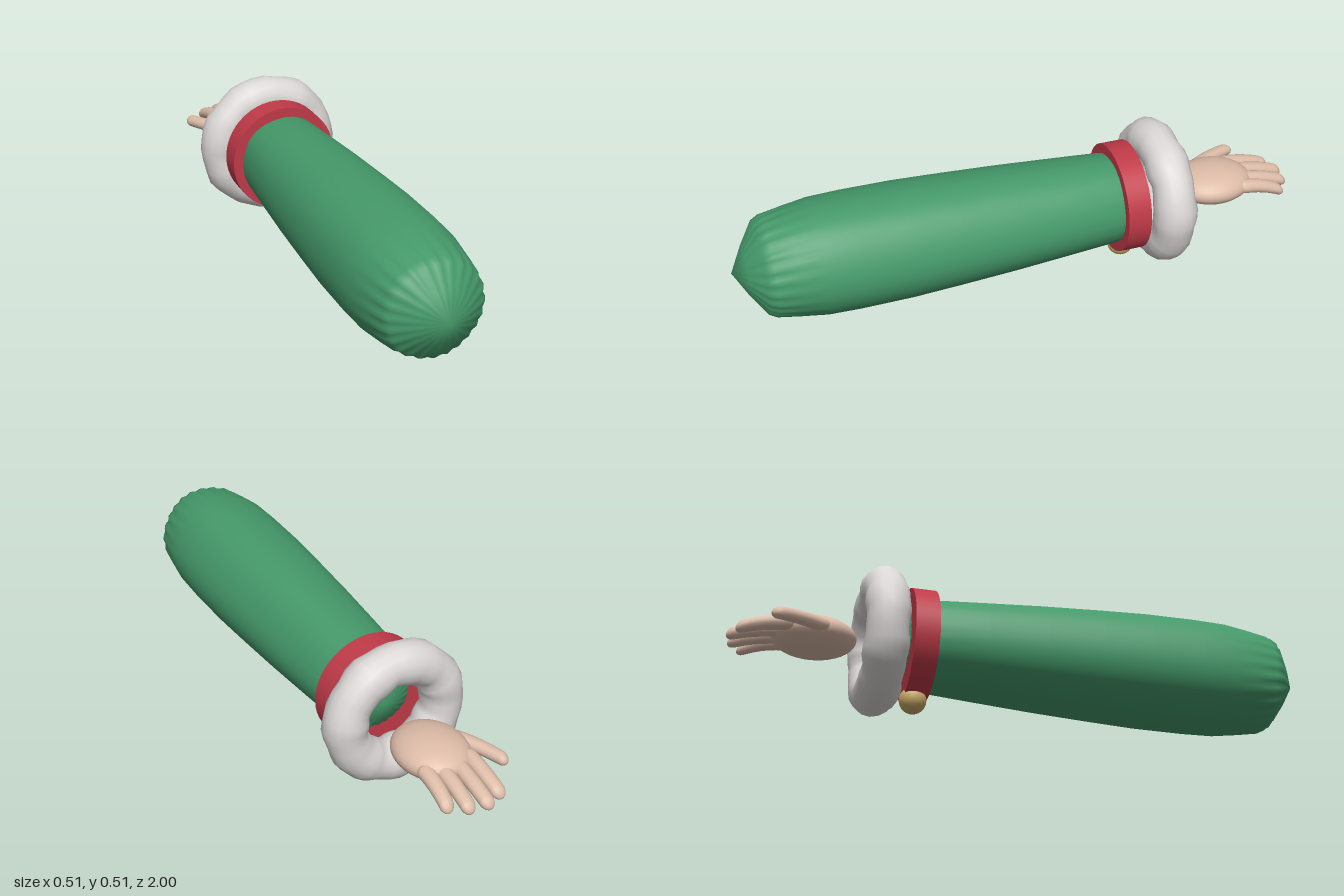
import * as THREE from 'three';
import { mergeVertices } from 'three/addons/utils/BufferGeometryUtils.js';

const AXIS_Y = 0.257;
const mat = (name, color) => {
  const m = new THREE.MeshStandardMaterial({ color });
  m.name = name;
  return m;
};

// Move every vertex by a rule, then weld seams and smooth the normals.
function reshape(geometry, rule) {
  geometry.deleteAttribute('uv');
  geometry.deleteAttribute('normal');
  const p = geometry.attributes.position;
  const v = new THREE.Vector3();
  for (let i = 0; i < p.count; i++) {
    rule(v.fromBufferAttribute(p, i));
    p.setXYZ(i, v.x, v.y, v.z);
  }
  const welded = mergeVertices(geometry, 1e-5);
  welded.computeVertexNormals();
  return welded;
}

export function createModel() {
  const green = mat('sleeve green', 0x45996a);
  const red = mat('band red', 0xc03a48);
  const white = mat('fur white', 0xdad7d5);
  const gold = mat('bell gold', 0xc9aa68);
  const skin = mat('skin', 0xdcbba7);

  const group = new THREE.Group();
  const add = (name, geometry, material, x, y, z, parent = group) => {
    const mesh = new THREE.Mesh(geometry, material);
    mesh.name = name;
    mesh.position.set(x, y, z);
    parent.add(mesh);
    return mesh;
  };

  // Padded sleeve: turned profile [radius, z] with gathers at both ends
  const profile = [
    [0, -0.455], [0.06, -0.432], [0.112, -0.405], [0.148, -0.37], [0.159, -0.31],
    [0.17, -0.15], [0.183, 0.05], [0.193, 0.25], [0.2, 0.42], [0.201, 0.6],
    [0.198, 0.71], [0.185, 0.8], [0.169, 0.875], [0.155, 0.902], [0.085, 0.95], [0, 0.997],
  ].map(([r, z]) => new THREE.Vector2(r, z));
  const sleeve = new THREE.LatheGeometry(profile, 96);
  sleeve.rotateX(Math.PI / 2);
  add('sleeve', reshape(sleeve, (v) => {
    const a = Math.atan2(v.y, v.x);
    const r = Math.hypot(v.x, v.y);
    const gather = Math.exp(-(((v.z - 0.885) / 0.06) ** 2)) + Math.exp(-(((v.z + 0.395) / 0.03) ** 2));
    const k = 1 + Math.min(1, r / 0.1) * (0.025 * gather * Math.cos(24 * a) + 0.012 * Math.cos(5 * a + 0.6));
    v.x *= k;
    v.y *= k;
  }), green, 0, AXIS_Y, 0);

  // Cuff band
  const band = new THREE.CylinderGeometry(0.191, 0.191, 0.082, 48);
  band.rotateX(Math.PI / 2);
  add('cuffBand', band, red, 0, AXIS_Y, -0.364);

  // Fur trim: a lumpy ring
  add('furTrim', reshape(new THREE.TorusGeometry(0.18, 0.073, 16, 36), (v) => {
    const a = Math.atan2(v.y, v.x);
    const r = Math.hypot(v.x, v.y);
    const lump = 1 + 0.04 * Math.sin(7 * a + 0.8) + 0.035 * Math.cos(12 * a + v.z * 20);
    const nr = 0.18 + (r - 0.18) * lump;
    v.set(Math.cos(a) * nr, Math.sin(a) * nr, v.z * lump);
  }), white, 0, AXIS_Y - 0.002, -0.495);

  // Bell below the band
  add('bell', new THREE.SphereGeometry(0.046, 24, 16), gold, 0, 0.054, -0.373);

  // Hand
  const hand = new THREE.Group();
  hand.name = 'hand';
  group.add(hand);
  const palm = new THREE.SphereGeometry(1, 32, 20);
  palm.rotateX(Math.PI / 2);
  palm.scale(0.12, 0.062, 0.143);
  add('palm', palm, skin, 0, 0.243, -0.713, hand);

  // A digit runs along -z; `bend` curves it sideways and down
  const digit = (length, radius, bendX, bendY) => {
    const g = new THREE.CapsuleGeometry(radius, length - 2 * radius, 8, 14, 8);
    g.rotateX(-Math.PI / 2);
    return reshape(g, (v) => {
      const t = 0.5 - v.z / length;
      v.x = v.x * (1.05 - 0.15 * t) + bendX * t * t;
      v.y = v.y * (0.95 - 0.15 * t) + bendY * t * t;
    });
  };
  [[-0.081, -0.975, -0.008], [-0.027, -1.0, -0.004], [0.028, -0.99, 0.004], [0.077, -0.955, 0.01]]
    .forEach(([x, tip, bend], i) => {
      const length = tip * -1 - 0.78;
      add('finger' + (i + 1), digit(length, 0.027, bend, -0.045), skin,
        x, 0.248, tip + length / 2, hand);
    });
  const thumb = add('thumb', digit(0.21, 0.026, 0.03, -0.012), skin, -0.148, 0.243, -0.765, hand);
  thumb.rotation.y = 0.6;

  return group;
}
